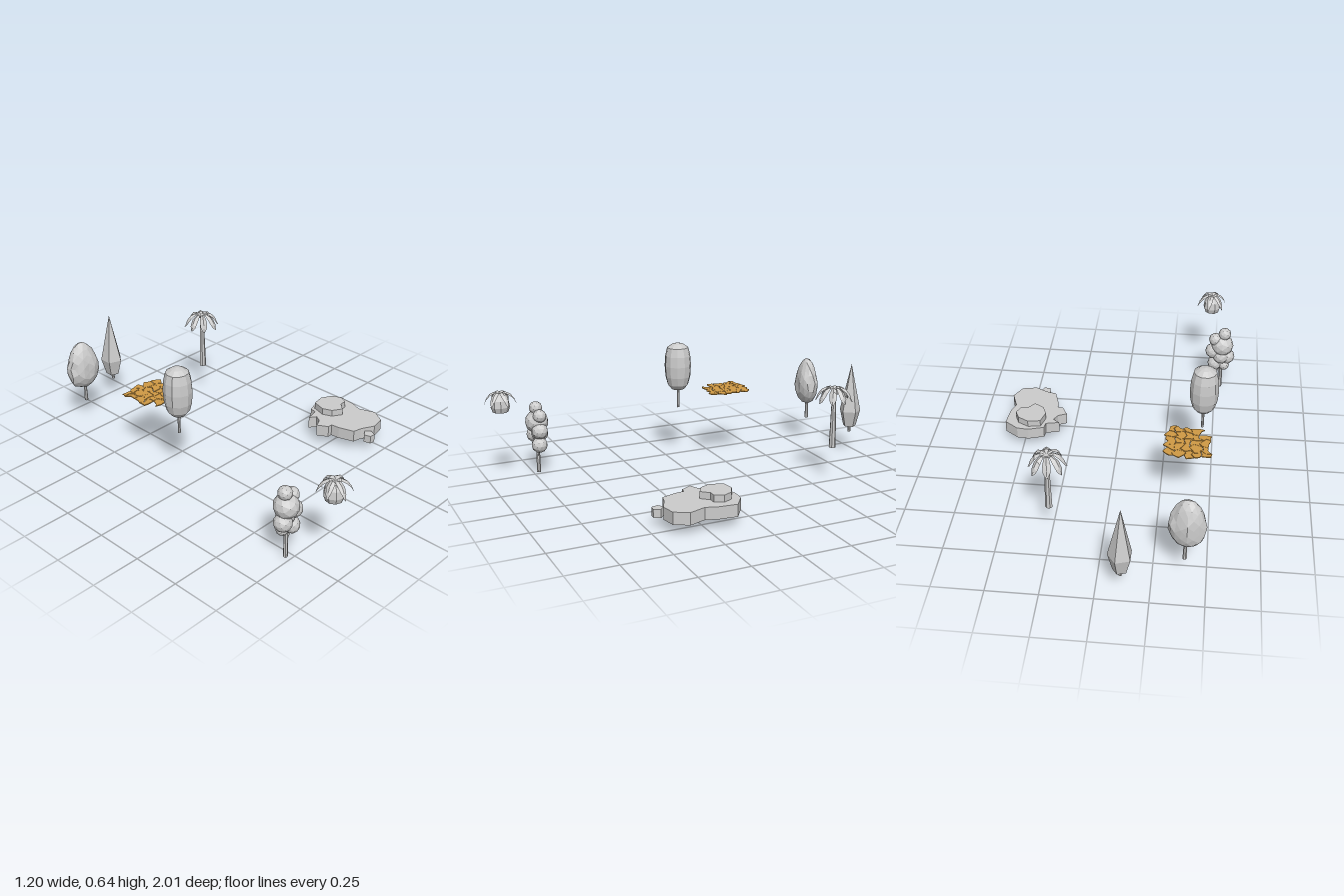
import * as THREE from 'three';

const grey = new THREE.MeshStandardMaterial({ color: 0xcccccc, flatShading: true, side: THREE.DoubleSide });
const tan = new THREE.MeshStandardMaterial({ color: 0xd09a45, flatShading: true, side: THREE.DoubleSide });

// repeatable value in -1..1 from two numbers
const hash = (a, b) => {
  const s = Math.sin(a * 127.1 + b * 311.7) * 43758.5453;
  return (s - Math.floor(s)) * 2 - 1;
};

function add(parent, name, geometry, x = 0, y = 0, z = 0, material = grey) {
  const mesh = new THREE.Mesh(geometry, material);
  mesh.name = name;
  mesh.position.set(x, y, z);
  parent.add(mesh);
  return mesh;
}

function group(parent, name, x, z) {
  const g = new THREE.Group();
  g.name = name;
  g.position.set(x, 0, z);
  parent.add(g);
  return g;
}

const trunk = (parent, y0, y1, rBottom, rTop) =>
  add(parent, 'trunk', new THREE.CylinderGeometry(rTop, rBottom, y1 - y0, 7), 0, (y0 + y1) / 2, 0);

const lathe = (points, sides) => new THREE.LatheGeometry(points.map(p => new THREE.Vector2(...p)), sides);

// upright slab from an outline of [x, z] points
function slab(outline, height) {
  const shape = new THREE.Shape(outline.map(([x, z]) => new THREE.Vector2(x, -z)));
  return new THREE.ExtrudeGeometry(shape, { depth: height, bevelEnabled: false }).rotateX(-Math.PI / 2);
}

// arched leaf with a raised midrib; stations are [reach, height, half width, edge drop]
function frond(stations) {
  const pos = [], index = [];
  stations.forEach(([r, y, w, d], i) => {
    pos.push(r, y - d, -w, r, y, 0, r, y - d, w);
    if (i) for (let k = 0; k < 2; k++) {
      const a = (i - 1) * 3 + k, b = a + 3;
      index.push(a, a + 1, b, a + 1, b + 1, b);
    }
  });
  const g = new THREE.BufferGeometry();
  g.setAttribute('position', new THREE.Float32BufferAttribute(pos, 3));
  g.setIndex(index);
  g.computeVertexNormals();
  return g;
}

function fronds(parent, count, stations, turn) {
  for (let i = 0; i < count; i++) {
    const leaf = add(parent, 'frond', frond(stations));
    leaf.rotation.y = turn + i * Math.PI * 2 / count;
    leaf.scale.set(1 + 0.06 * hash(i, count), 1, 1);
  }
}

export function createModel() {
  const model = new THREE.Group();
  model.name = 'landscapeSet';

  // tree with a crown of round clumps
  const clumpTree = group(model, 'clumpTree', -0.53, 0.72);
  trunk(clumpTree, 0, 0.25, 0.011, 0.009);
  const branch = new THREE.LineCurve3(new THREE.Vector3(0, 0.09, 0), new THREE.Vector3(0.035, 0.15, 0));
  add(clumpTree, 'branch', new THREE.TubeGeometry(branch, 1, 0.007, 5));
  [[-0.01, 0.352, 0, 0.035], [0, 0.28, 0, 0.062], [-0.027, 0.205, 0.005, 0.045], [0.04, 0.318, -0.005, 0.036],
    [0.05, 0.24, 0, 0.043], [0.035, 0.16, 0, 0.042], [-0.015, 0.155, -0.01, 0.03], [0.005, 0.215, -0.012, 0.045]]
    .forEach(([x, y, z, r]) => add(clumpTree, 'leafClump', new THREE.IcosahedronGeometry(r, 1), x, y, z));

  // low bush with drooping blades
  const bush = group(model, 'bladeBush', -0.46, 0.925);
  add(bush, 'bushBody', lathe([[0, 0.378], [0.04, 0.378], [0.049, 0.405], [0.043, 0.44], [0.025, 0.465], [0, 0.475]], 9));
  fronds(bush, 6, [[0, 0.475, 0.006, 0], [0.025, 0.484, 0.014, 0.006], [0.05, 0.472, 0.016, 0.008],
    [0.068, 0.448, 0.011, 0.006], [0.08, 0.415, 0.001, 0]], 0.25);

  // tall rounded tree
  const ovalTree = group(model, 'ovalTree', -0.443, -0.053);
  trunk(ovalTree, 0.285, 0.41, 0.007, 0.007);
  add(ovalTree, 'crown', lathe([[0, 0.388], [0.035, 0.39], [0.056, 0.415], [0.068, 0.46], [0.072, 0.52],
    [0.068, 0.575], [0.057, 0.62], [0.03, 0.638], [0, 0.645]], 11));

  // rugged tree with a faceted crown
  const ruggedTree = group(model, 'ruggedTree', -0.397, -0.842);
  trunk(ruggedTree, 0.138, 0.26, 0.01, 0.007);
  const crown = new THREE.IcosahedronGeometry(1, 2);
  const p = crown.attributes.position;
  for (let i = 0; i < p.count; i++) {
    const x = p.getX(i), y = p.getY(i), z = p.getZ(i);
    const bump = 1 + 0.07 * Math.sin(7 * x + 5 * y) * Math.cos(6 * z - 4 * y) + 0.05 * Math.sin(11 * z + 9 * x);
    const taper = bump * (1 - 0.2 * y);
    p.setXYZ(i, x * 0.085 * taper - 0.006, 0.355 + y * 0.132, z * 0.06 * taper + x * 0.008);
  }
  crown.computeVertexNormals();
  add(ruggedTree, 'crown', crown);

  // pointed tree
  const pointedTree = group(model, 'pointedTree', -0.116, -0.954);
  trunk(pointedTree, 0.117, 0.17, 0.008, 0.008);
  add(pointedTree, 'crown', lathe([[0, 0.15], [0.036, 0.152], [0.059, 0.24], [0, 0.505]], 5)).rotation.y = 0.3;

  // palm
  const palm = group(model, 'palm', 0.255, -0.608);
  trunk(palm, 0.185, 0.495, 0.018, 0.01);
  fronds(palm, 8, [[0, 0.492, 0.003, 0], [0.03, 0.505, 0.011, 0.004], [0.058, 0.495, 0.019, 0.014],
    [0.078, 0.468, 0.017, 0.016], [0.084, 0.448, 0.01, 0.01], [0.093, 0.43, 0.001, 0]], 0.15);

  // stepped stone ledge
  const ledge = group(model, 'stoneLedge', 0, 0);
  add(ledge, 'lowerLedge', slab([[0.39, 0.08], [0.47, 0.055], [0.53, 0.06], [0.6, 0.11], [0.59, 0.21], [0.57, 0.265],
    [0.6, 0.35], [0.56, 0.42], [0.485, 0.435], [0.415, 0.4], [0.37, 0.39], [0.345, 0.31], [0.34, 0.265],
    [0.315, 0.265], [0.285, 0.21], [0.33, 0.19], [0.35, 0.155], [0.315, 0.13], [0.385, 0.115]], 0.062), 0, 0.053, 0);
  add(ledge, 'upperLedge', slab([[0.41, 0.09], [0.475, 0.08], [0.53, 0.11], [0.55, 0.155], [0.53, 0.2],
    [0.495, 0.2], [0.46, 0.24], [0.41, 0.21], [0.39, 0.16]], 0.035), 0, 0.115, 0);
  add(ledge, 'smallStone', slab([[0.405, 0.43], [0.435, 0.41], [0.46, 0.435], [0.445, 0.468], [0.415, 0.465]], 0.042), 0, 0.053, 0);

  // cracked flat patch: cells of a jittered lattice, each shrunk a little
  const patch = group(model, 'crackedPatch', -0.38, -0.303);
  const n = 5;
  const node = (i, j) => [((i / n) - 1) * 0.108 + 0.016 * hash(i + 1, j + 3),
    ((j / n) - 1) * 0.112 + 0.008 * (i / n - 1) + 0.016 * hash(j + 8, i + 5)];
  const ring = [[0, 0], [1, 0], [2, 0], [2, 1], [2, 2], [1, 2], [0, 2], [0, 1]];
  for (let i = 0; i < n; i++) for (let j = 0; j < n; j++) {
    if (i === 0 && j === n - 1) continue;
    const corners = ring.map(([a, b]) => node(2 * i + a, 2 * j + b));
    const [cx, cz] = node(2 * i + 1, 2 * j + 1);
    const outline = corners.map(([x, z]) => [cx + (x - cx) * 0.95, cz + (z - cz) * 0.95]);
    add(patch, 'patchPiece', slab(outline, 0.005), 0, 0.375, 0, tan);
  }
  return model;
}
